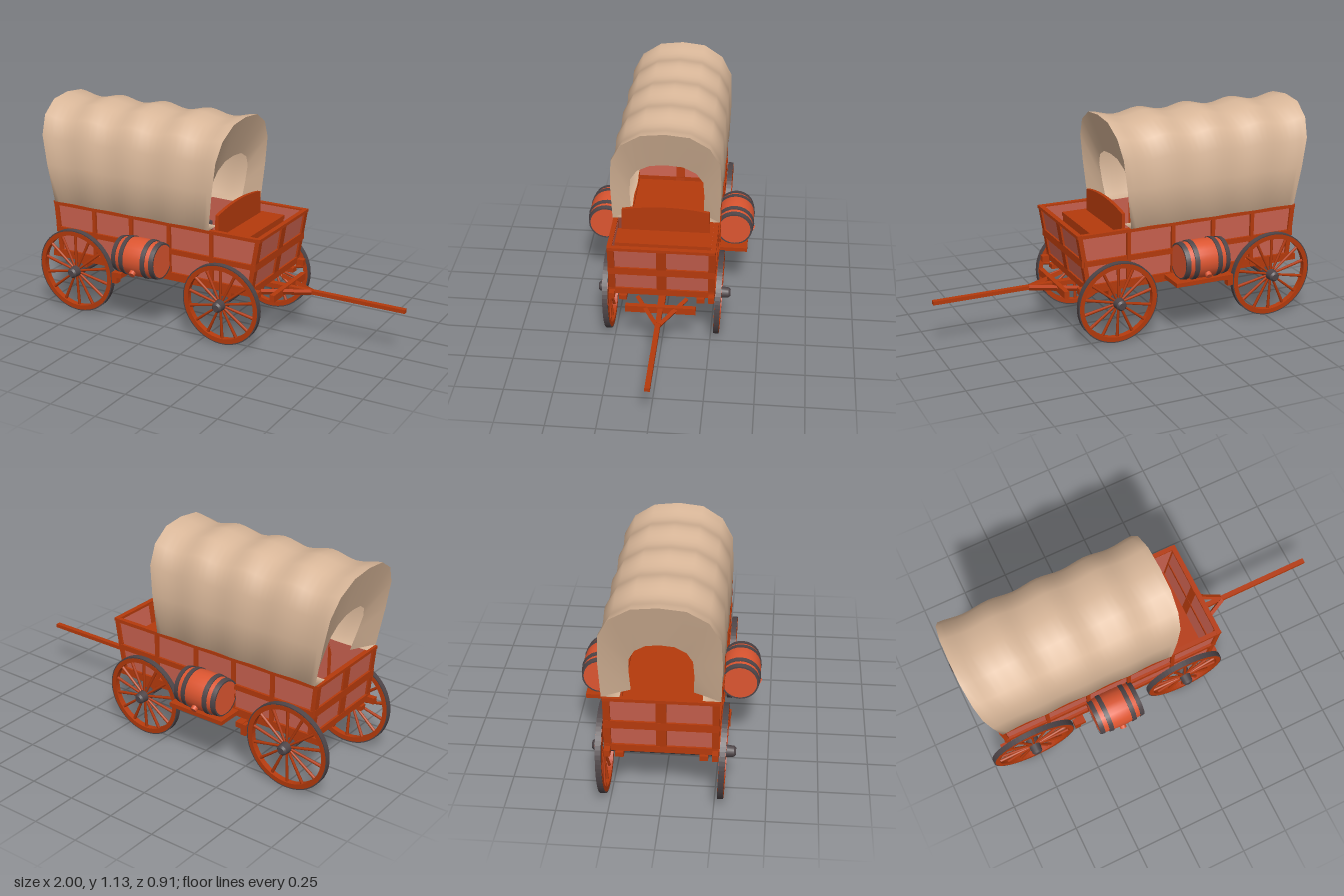
import * as THREE from 'three';

const mat = (name, color, side = THREE.FrontSide) => {
  const m = new THREE.MeshStandardMaterial({ color, side });
  m.name = name;
  return m;
};

export function createModel() {
  const wood = mat('frame wood', 0xb53a0c);
  const panel = mat('painted panel', 0xc8604e);
  const stave = mat('barrel wood', 0xdc5530);
  const iron = mat('dark iron', 0x4e4548);
  const cloth = mat('canvas', 0xd9b799, THREE.DoubleSide);

  const root = new THREE.Group();
  root.name = 'coveredWagon';

  const add = (name, geo, m, parent = root) => {
    const mesh = new THREE.Mesh(geo, m);
    mesh.name = name;
    parent.add(mesh);
    return mesh;
  };
  // Box given by its min and max corners
  const box = (name, m, [x0, y0, z0], [x1, y1, z1], parent) => {
    const b = add(name, new THREE.BoxGeometry(x1 - x0, y1 - y0, z1 - z0), m, parent);
    b.position.set((x0 + x1) / 2, (y0 + y1) / 2, (z0 + z1) / 2);
    return b;
  };
  // Stretch a y-aligned mesh between two points
  const span = (mesh, a, b) => {
    const p = new THREE.Vector3(...a), q = new THREE.Vector3(...b);
    mesh.position.copy(p).add(q).multiplyScalar(0.5);
    mesh.quaternion.setFromUnitVectors(new THREE.Vector3(0, 1, 0), q.sub(p).normalize());
    return mesh;
  };
  const dist = (a, b) => Math.hypot(b[0] - a[0], b[1] - a[1], b[2] - a[2]);
  const beam = (name, a, b, w, d = w, m = wood) =>
    span(add(name, new THREE.BoxGeometry(w, dist(a, b), d), m), a, b);
  const rod = (name, a, b, r0, r1, m, parent, sides = 12) =>
    span(add(name, new THREE.CylinderGeometry(r1, r0, dist(a, b), sides), m, parent), a, b);

  // Wagon box: ends slope outward towards the top
  const Y0 = 0.3, Y1 = 0.59;
  const endX = (end, y) => {
    const t = (y - Y0) / (Y1 - Y0);
    return end > 0 ? 0.262 + 0.048 * t : -0.875 - 0.025 * t;
  };
  const sideShape = new THREE.Shape([[-1, Y0], [1, Y0], [1, Y1], [-1, Y1]]
    .map(([e, y]) => new THREE.Vector2(endX(e, y), y)));
  for (const s of [1, -1]) {
    const wall = add('sidePanel', new THREE.ExtrudeGeometry(sideShape, { depth: 0.012, bevelEnabled: false }), panel);
    wall.position.z = s * 0.255 - 0.006;
    for (const [y, h] of [[0.312, 0.035], [0.445, 0.028], [0.59, 0.018]])
      beam('sideRail', [endX(-1, y) - 0.008, y, s * 0.262], [endX(1, y) + 0.008, y, s * 0.262], h, 0.024);
    for (const x of [-0.66, -0.43, -0.2, 0.05])
      beam('sidePost', [x, Y0, s * 0.262], [x, Y1, s * 0.262], 0.02, 0.026);
  }
  for (const e of [1, -1]) {
    const at = (y, z, out = 0) => [endX(e, y) + e * out, y, z];
    beam('endPanel', at(Y0, 0), at(Y1, 0), 0.012, 0.5, panel);
    for (const z of [-0.255, 0, 0.255])
      beam('endPost', at(Y0, z, 0.004), at(Y1, z, 0.004), 0.024, z ? 0.034 : 0.05);
    for (const [y, h] of [[0.312, 0.035], [0.448, 0.04], [0.592, 0.016]])
      beam('endRail', at(y, -0.272, 0.006), at(y, 0.272, 0.006), 0.026, h);
  }
  box('floor', wood, [-0.88, 0.285, -0.255], [0.265, 0.305, 0.255]);

  // Driver's seat with an arched backrest
  box('seat', wood, [0.06, 0.53, -0.25], [0.2, 0.55, 0.25]);
  box('seatFront', wood, [0.18, 0.3, -0.25], [0.195, 0.53, 0.25]);
  box('footBoard', wood, [0.2, 0.32, -0.25], [0.26, 0.34, 0.25]);
  const backShape = new THREE.Shape();
  backShape.moveTo(-0.23, 0.53);
  backShape.lineTo(0.23, 0.53);
  backShape.lineTo(0.226, 0.668);
  backShape.quadraticCurveTo(0, 0.715, -0.226, 0.668);
  const back = add('seatBack', new THREE.ExtrudeGeometry(backShape, { depth: 0.018, bevelEnabled: false }), wood);
  back.rotation.y = Math.PI / 2;
  back.position.x = 0.05;

  // Undercarriage
  for (const z of [-0.2, 0.2])
    box('chassisBeam', wood, [-0.9, 0.262, z - 0.02], [0.29, 0.287, z + 0.02]);
  for (const s of [1, -1])
    box('sill', wood, [-0.935, 0.285, s * 0.255 - 0.015], [0.32, 0.318, s * 0.255 + 0.015]);
  box('reachPole', wood, [-0.8, 0.245, -0.018], [0.33, 0.27, 0.018]);
  for (const x of [-0.77, 0.118])
    box('bolster', wood, [x - 0.035, 0.243, -0.25], [x + 0.035, 0.29, 0.25]);
  box('brakeBeam', wood, [-0.515, 0.25, -0.31], [-0.475, 0.278, 0.31]);
  for (const s of [1, -1])
    box('brakeShoe', wood, [-0.535, 0.215, s * 0.29 - 0.018], [-0.505, 0.275, s * 0.29 + 0.018]);

  // Tongue with crossbar and braces
  box('tongue', wood, [0.28, 0.25, -0.013], [1, 0.27, 0.013]);
  box('crossbar', wood, [0.338, 0.24, -0.18], [0.364, 0.277, 0.18]);
  for (const s of [1, -1])
    beam('tongueBrace', [0.49, 0.26, s * 0.008], [0.26, 0.26, s * 0.125], 0.02);

  // Wheels and axles
  const ring = (outer, inner, depth) => {
    const shape = new THREE.Shape().absarc(0, 0, outer, 0, Math.PI * 2, false);
    shape.holes.push(new THREE.Path().absarc(0, 0, inner, 0, Math.PI * 2, true));
    return new THREE.ExtrudeGeometry(shape, { depth, bevelEnabled: false, curveSegments: 32 })
      .translate(0, 0, -depth / 2);
  };
  for (const [x, y, R] of [[-0.77, 0.235, 0.231], [0.118, 0.221, 0.219]]) {
    rod('axle', [x, 0.23, -0.3], [x, 0.23, 0.3], 0.024, 0.024, iron);
    for (const s of [1, -1]) {
      const wheel = new THREE.Group();
      wheel.name = 'wheel';
      wheel.position.set(x, y, s * 0.287);
      wheel.rotation.x = s * 0.033;
      root.add(wheel);
      add('tire', ring(R, R - 0.008, 0.028), iron, wheel);
      add('rim', ring(R - 0.006, R - 0.03, 0.03), wood, wheel);
      rod('hub', [0, 0, -s * 0.025], [0, 0, s * 0.05], 0.034, 0.027, iron, wheel, 16);
      rod('hubCap', [0, 0, s * 0.05], [0, 0, s * 0.06], 0.027, 0.018, iron, wheel, 16);
      for (let i = 0; i < 14; i++) {
        const a = (i + 0.5) / 14 * Math.PI * 2, c = Math.cos(a), n = Math.sin(a);
        rod('spoke', [c * 0.025, n * 0.025, s * 0.008], [c * (R - 0.025), n * (R - 0.025), 0], 0.006, 0.0085, wood, wheel, 6);
      }
    }
  }

  // Barrels slung on both sides
  const bulge = x => 0.101 - 0.012 * (x / 0.125) ** 2;
  const band = (x0, x1, grow) => new THREE.LatheGeometry(
    Array.from({ length: 9 }, (_, i) => {
      const x = x0 + (x1 - x0) * i / 8;
      return new THREE.Vector2(bulge(x) + grow, x);
    }), 24).rotateZ(-Math.PI / 2);
  for (const s of [1, -1]) {
    const barrel = new THREE.Group();
    barrel.name = 'barrel';
    barrel.position.set(-0.318, 0.415, s * 0.347);
    root.add(barrel);
    add('barrelBody', band(-0.125, 0.125, 0), stave, barrel);
    rod('barrelHeads', [-0.122, 0, 0], [0.122, 0, 0], 0.089, 0.089, stave, barrel, 24);
    for (const x of [-0.113, -0.065, 0.065, 0.113]) {
      add('hoop', band(x - 0.012, x + 0.012, 0.005), iron, barrel);
      for (const e of [-1, 1]) {
        const edge = add('hoopEdge', new THREE.RingGeometry(0.086, bulge(x + e * 0.012) + 0.005, 24), iron, barrel);
        edge.rotation.y = e * Math.PI / 2;
        edge.position.x = x + e * 0.012;
      }
    }
    rod('bung', [0, -0.05, s * 0.075], [0, -0.066, s * 0.099], 0.017, 0.017, stave, barrel);
  }
  box('barrelShelf', wood, [-0.47, 0.303, -0.42], [-0.15, 0.325, -0.25]);

  // Canvas cover: arch sections swelling at the hoops, flaring at both ends
  const half = [[0.275, 0.6], [0.281, 0.8], [0.273, 0.95], [0.22, 1.045], [0.122, 1.105]];
  const arch = [...half, [0, 1.118], ...half.map(([z, y]) => [-z, y]).reverse()];
  const lipped = [[0.19, 0.601], ...arch, [-0.19, 0.601]];
  const section = (pts, u, kz = 1, ky = 1, inset = 0) => pts.map(([z, y]) => {
    const t = (y - 0.6) / 0.52, w = Math.cos(u * Math.PI * 8);
    const x = THREE.MathUtils.lerp(-0.905 - 0.095 * t, 0.04 + 0.06 * t, u) + inset;
    return [x, 0.6 + (y - 0.6) * (1 + 0.024 * w) * ky, z * (1 + 0.012 * w) * kz];
  });
  const loft = rows => {
    const n = rows[0].length, index = [];
    for (let i = 0; i < rows.length - 1; i++)
      for (let j = 0; j < n - 1; j++) {
        const a = i * n + j, b = a + n;
        index.push(a, b, a + 1, b, b + 1, a + 1);
      }
    const g = new THREE.BufferGeometry();
    g.setAttribute('position', new THREE.Float32BufferAttribute(rows.flat(2), 3));
    g.setIndex(index);
    g.computeVertexNormals();
    return g;
  };
  add('canvasCover', loft(Array.from({ length: 33 }, (_, i) => section(lipped, i / 32))), cloth);
  // Gathered end flaps, each with an arched opening
  add('frontFlap', loft([section(arch, 1), section(arch, 1, 0.68, 0.6, -0.07)]), cloth);
  add('rearFlap', loft([section(arch, 0, 0.53, 0.57, 0.07), section(arch, 0)]), cloth);

  return root;
}
